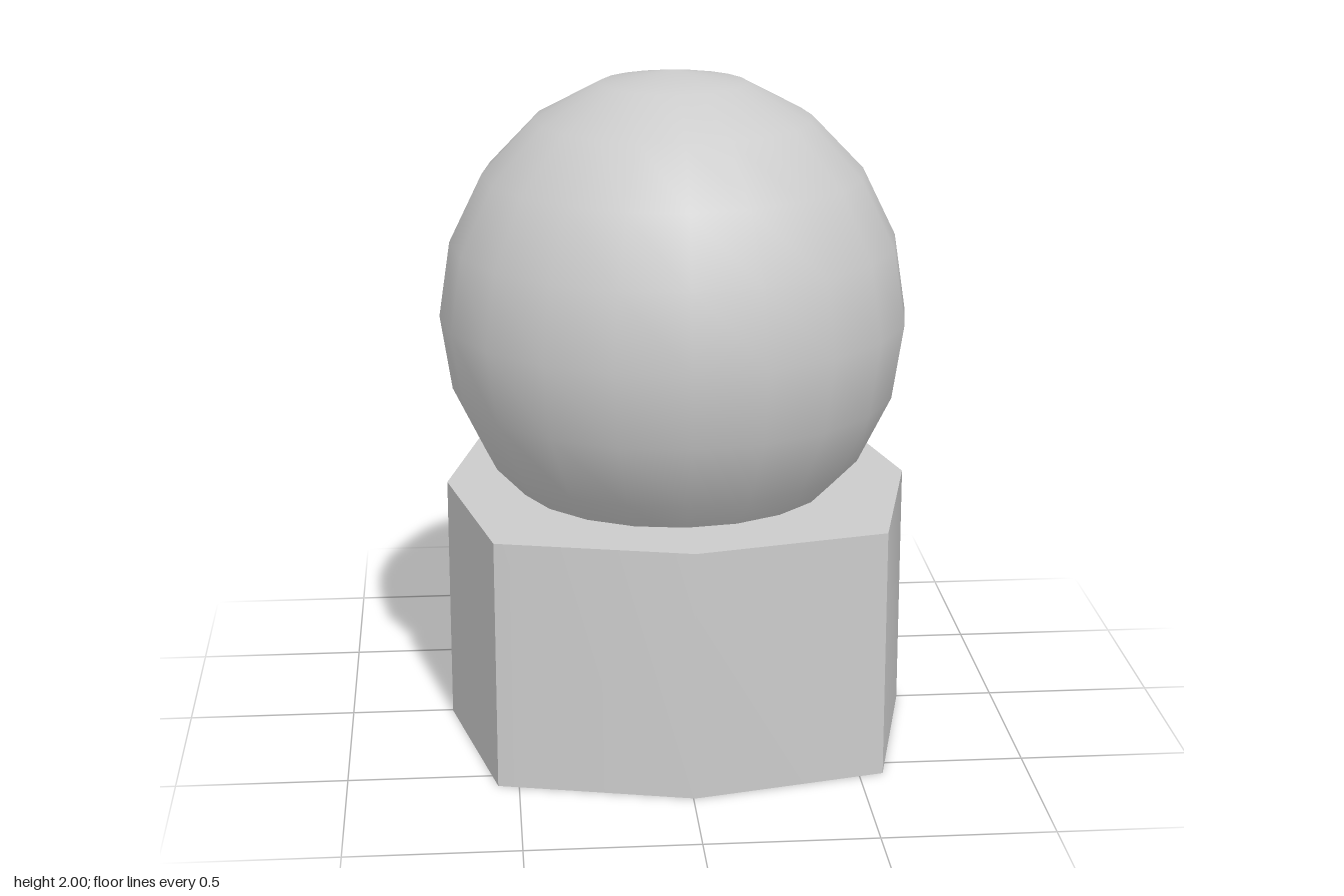
import * as THREE from 'three';
import { toCreasedNormals } from 'three/addons/utils/BufferGeometryUtils.js';

export function createModel() {
  const group = new THREE.Group();
  const material = new THREE.MeshStandardMaterial({ color: 0xcccccc });

  // Base: a square block whose sides bulge out at the middle
  const corner = 0.566 * Math.SQRT2, middle = 0.697;
  const outline = [];
  for (let i = 0; i < 8; i++) {
    const a = (i * Math.PI) / 4;
    const r = i % 2 ? corner : middle;
    outline.push(new THREE.Vector2(r * Math.cos(a), r * Math.sin(a)));
  }
  const block = new THREE.ExtrudeGeometry(new THREE.Shape(outline), { depth: 0.75, bevelEnabled: false });
  block.rotateX(-Math.PI / 2);
  // Smooth over the bulge, sharp at the four corners and the rims
  const base = new THREE.Mesh(toCreasedNormals(block, 0.7), material);
  base.name = 'base';
  base.position.set(0.005, 0, 0.006);

  // Ball: slightly tall sphere sunk into the base
  const ball = new THREE.Mesh(new THREE.SphereGeometry(1, 20, 10), material);
  ball.name = 'ball';
  ball.scale.set(0.7, 0.73, 0.7);
  ball.position.set(-0.003, 1.27, 0);

  group.add(base, ball);
  return group;
}
